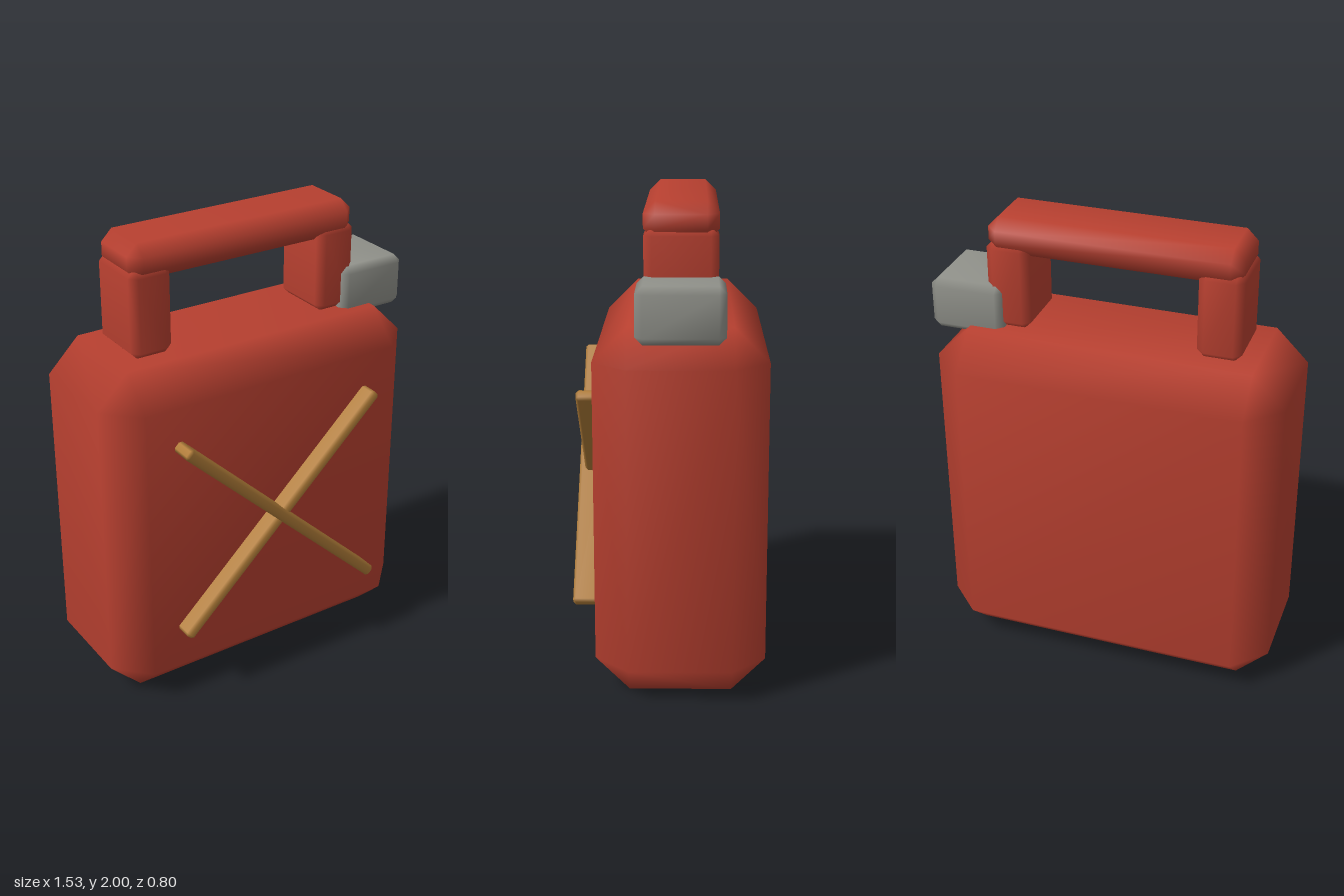
import * as THREE from 'three';
import { mergeVertices } from 'three/addons/utils/BufferGeometryUtils.js';
import { ConvexGeometry } from 'three/addons/geometries/ConvexGeometry.js';

const material = (name, color) => {
  const m = new THREE.MeshStandardMaterial({ color });
  m.name = name;
  return m;
};

// Box of size w, h, d with single-step bevelled edges and smooth normals
function bevelBox(w, h, d, bevel) {
  const points = [];
  for (const sx of [-1, 1]) for (const sy of [-1, 1]) for (const sz of [-1, 1]) {
    for (let axis = 0; axis < 3; axis++) {
      const inset = [0, 1, 2].map((i) => (i === axis ? 0 : bevel));
      points.push(new THREE.Vector3(
        sx * (w / 2 - inset[0]),
        sy * (h / 2 - inset[1]),
        sz * (d / 2 - inset[2])));
    }
  }
  let geometry = new ConvexGeometry(points);
  geometry.deleteAttribute('normal');
  geometry = mergeVertices(geometry, 1e-4);
  geometry.computeVertexNormals();
  return geometry;
}

export function createModel() {
  const red = material('red paint', 0xb84030);
  const grey = material('grey metal', 0x90918a);
  const brass = material('brass', 0xb07c38);
  const model = new THREE.Group();
  model.name = 'fuelCan';

  // Places a bevelled box by its lowest and highest corners
  function addBox(name, mat, min, max, bevel) {
    const size = max.map((v, i) => v - min[i]);
    const mesh = new THREE.Mesh(bevelBox(...size, bevel), mat);
    mesh.position.set(...max.map((v, i) => (v + min[i]) / 2));
    mesh.name = name;
    model.add(mesh);
    return mesh;
  }

  // Can body
  addBox('body', red, [-0.77, 0, -0.4], [0.725, 1.525, 0.3], 0.14);

  // Carrying handle
  addBox('handleBar', red, [-0.555, 1.845, -0.2], [0.515, 2, 0.1], 0.048);
  addBox('rightHandlePost', red, [-0.562, 1.52, -0.198], [-0.375, 1.9, 0.098], 0.032);
  addBox('leftHandlePost', red, [0.335, 1.52, -0.198], [0.52, 1.9, 0.098], 0.032);

  // Filler cap
  addBox('cap', grey, [0.445, 1.485, -0.225], [0.765, 1.71, 0.125], 0.03);

  // Crossed ribs on the front, one standing slightly prouder
  for (const [name, side, front] of [['fallingRib', -1, 0.4], ['risingRib', 1, 0.375]]) {
    const rib = addBox(name, brass, [-0.675, 0.75, 0.2], [0.635, 0.8, front], 0.012);
    rib.rotation.z = side * 0.76;
  }

  return model;
}
